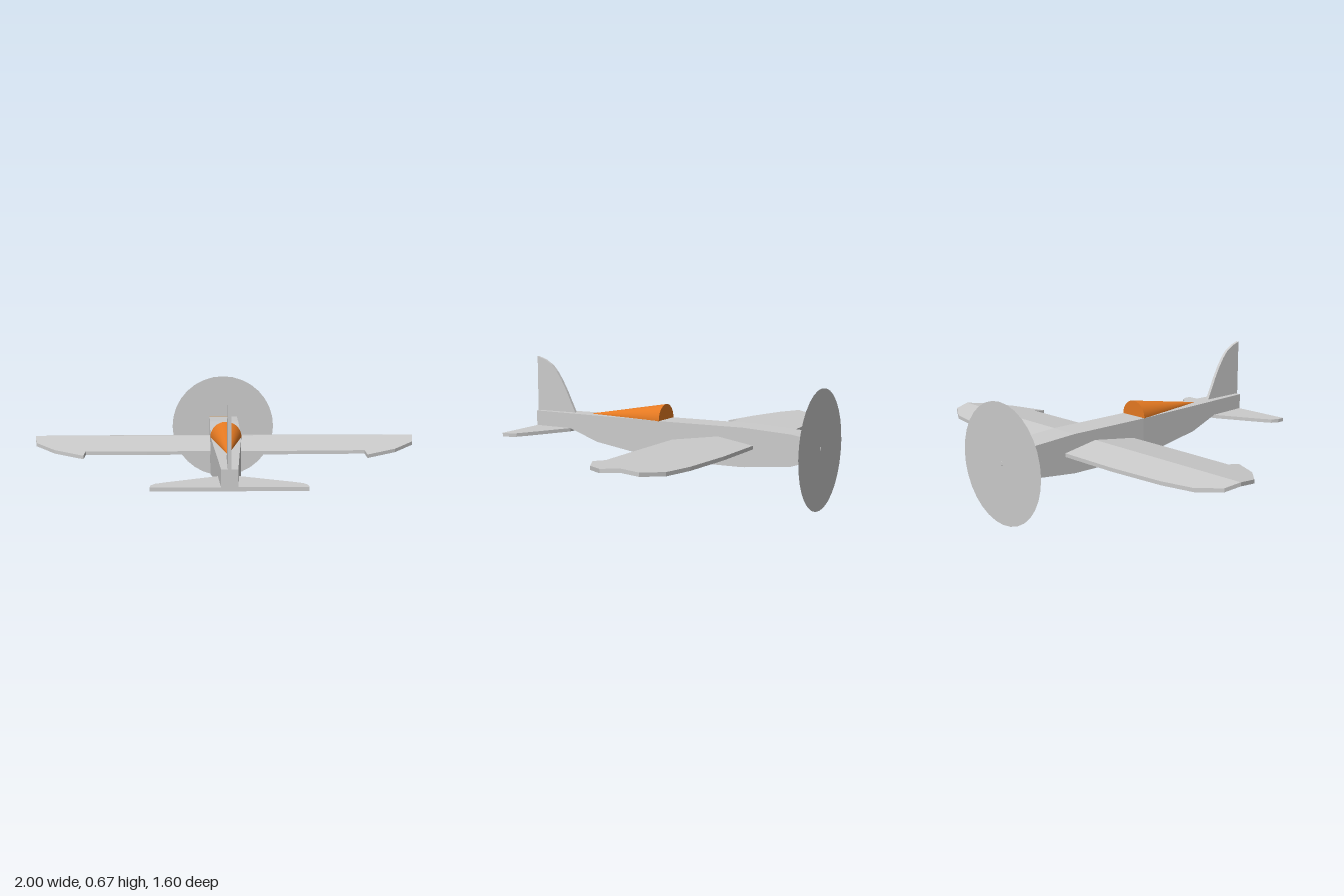
import * as THREE from 'three';

const grey = new THREE.MeshStandardMaterial({ color: 0xcccccc, flatShading: true, side: THREE.DoubleSide });
const orange = new THREE.MeshStandardMaterial({ color: 0xe67a22, side: THREE.DoubleSide });
const tan = new THREE.MeshStandardMaterial({ color: 0xc8a070 });

function add(group, name, geometry, material = grey) {
  const mesh = new THREE.Mesh(geometry, material);
  mesh.name = name;
  group.add(mesh);
  return mesh;
}

// Flat plate cut from an outline and given a thickness
function plate(points, thickness) {
  const shape = new THREE.Shape(points.map(([a, b]) => new THREE.Vector2(a, b)));
  return new THREE.ExtrudeGeometry(shape, { depth: thickness, bevelEnabled: false });
}

// Mirrors a right-hand outline [x, z] across the centre line
function mirrored(half) {
  return [...half, ...half.slice().reverse().map(([x, z]) => [-x, z])];
}

// Horizontal plate in x and z, top face at y = top
function flatPlate(points, thickness, top) {
  return plate(points, thickness).rotateX(Math.PI / 2).translate(0, top, 0);
}

// Box-section shell; the underside is open ahead of the rear bulkhead
function fuselageGeometry() {
  // z, half width, bottom, top
  const stations = [
    [-0.74, 0.077, 0.235, 0.357],
    [-0.68, 0.077, 0.215, 0.367],
    [-0.43, 0.077, 0.19, 0.382],
    [0.02, 0.077, 0.19, 0.382],
    [0.4, 0.057, 0.245, 0.382],
    [0.57, 0.048, 0.303, 0.382],
    [0.79, 0.037, 0.303, 0.382],
  ];
  const pos = [];
  const quad = (a, b, c, d) => pos.push(...a, ...b, ...c, ...a, ...c, ...d);
  const ring = ([z, w, lo, hi]) => [[w, lo, z], [w, hi, z], [-w, hi, z], [-w, lo, z]];
  for (let i = 0; i < stations.length - 1; i++) {
    const a = ring(stations[i]), b = ring(stations[i + 1]);
    const faces = stations[i][0] >= 0.02 ? 4 : 3;
    for (let k = 0; k < faces; k++) {
      const n = (k + 1) % 4;
      quad(a[k], a[n], b[n], b[k]);
    }
  }
  const end = ring(stations[stations.length - 1]);
  quad(end[0], end[1], end[2], end[3]);
  const geometry = new THREE.BufferGeometry();
  geometry.setAttribute('position', new THREE.Float32BufferAttribute(pos, 3));
  geometry.computeVertexNormals();
  return geometry;
}

export function createModel() {
  const model = new THREE.Group();
  model.name = 'airplane';

  // Fuselage and inner bulkheads
  add(model, 'fuselage', fuselageGeometry());
  for (const z of [-0.44, 0.015]) {
    add(model, 'bulkhead', new THREE.BoxGeometry(0.152, 0.19, 0.01).translate(0, 0.286, z));
  }

  // Wing: two plates meeting at a ridge, each sloping down from it
  const ridge = -0.3;
  const frontHalf = [[1, ridge], [0.98, -0.38], [0.87, -0.445], [0.7, -0.47], [0.4, -0.485]];
  const rearHalf = [[1, ridge], [0.98, -0.19], [0.87, -0.075], [0.715, 0.012], [0.71, -0.055], [0.4, -0.05]];
  const wing = new THREE.Group();
  wing.name = 'wing';
  for (const [name, half, slope] of [['wingFront', frontHalf, 0.167], ['wingRear', rearHalf, 0.14]]) {
    const geometry = flatPlate(mirrored(half), 0.018, 0.33);
    const p = geometry.attributes.position;
    for (let i = 0; i < p.count; i++) p.setY(i, p.getY(i) - slope * Math.abs(p.getZ(i) - ridge));
    geometry.computeVertexNormals();
    add(wing, name, geometry);
  }
  model.add(wing);

  // Tail surfaces
  const stabilizer = [[0.05, 0.57], [0.275, 0.685], [0.325, 0.715], [0.343, 0.75], [0.344, 0.787]];
  add(model, 'tailplane', flatPlate(mirrored(stabilizer), 0.018, 0.304));
  const fin = [[0.565, 0.38], [0.8, 0.38], [0.8, 0.67], [0.755, 0.655], [0.71, 0.628],
    [0.68, 0.595], [0.65, 0.55], [0.62, 0.495]];
  add(model, 'fin', plate(fin, 0.016).rotateY(-Math.PI / 2).translate(0.008, 0, 0));

  // Canopy: half cone tapering aft
  add(model, 'canopy', new THREE.ConeGeometry(0.078, 0.45, 24, 1, false, Math.PI / 2, Math.PI)
    .rotateX(Math.PI / 2).translate(0, 0.381, 0.25), orange);

  // Firewall, motor and propeller disc
  const axisY = 0.296;
  add(model, 'firewall', new THREE.BoxGeometry(0.154, 0.122, 0.014).translate(0, axisY, -0.747), tan);
  const turned = (name, radius, z0, z1) => add(model, name,
    new THREE.CylinderGeometry(radius, radius, z0 - z1, 20).rotateX(Math.PI / 2).translate(0, axisY, (z0 + z1) / 2));
  turned('motor', 0.042, -0.754, -0.775);
  turned('motorCap', 0.026, -0.775, -0.785);
  turned('shaft', 0.011, -0.785, -0.8);
  add(model, 'propellerDisc', new THREE.CircleGeometry(0.291, 32).translate(0, axisY - 0.004, -0.798));

  return model;
}
